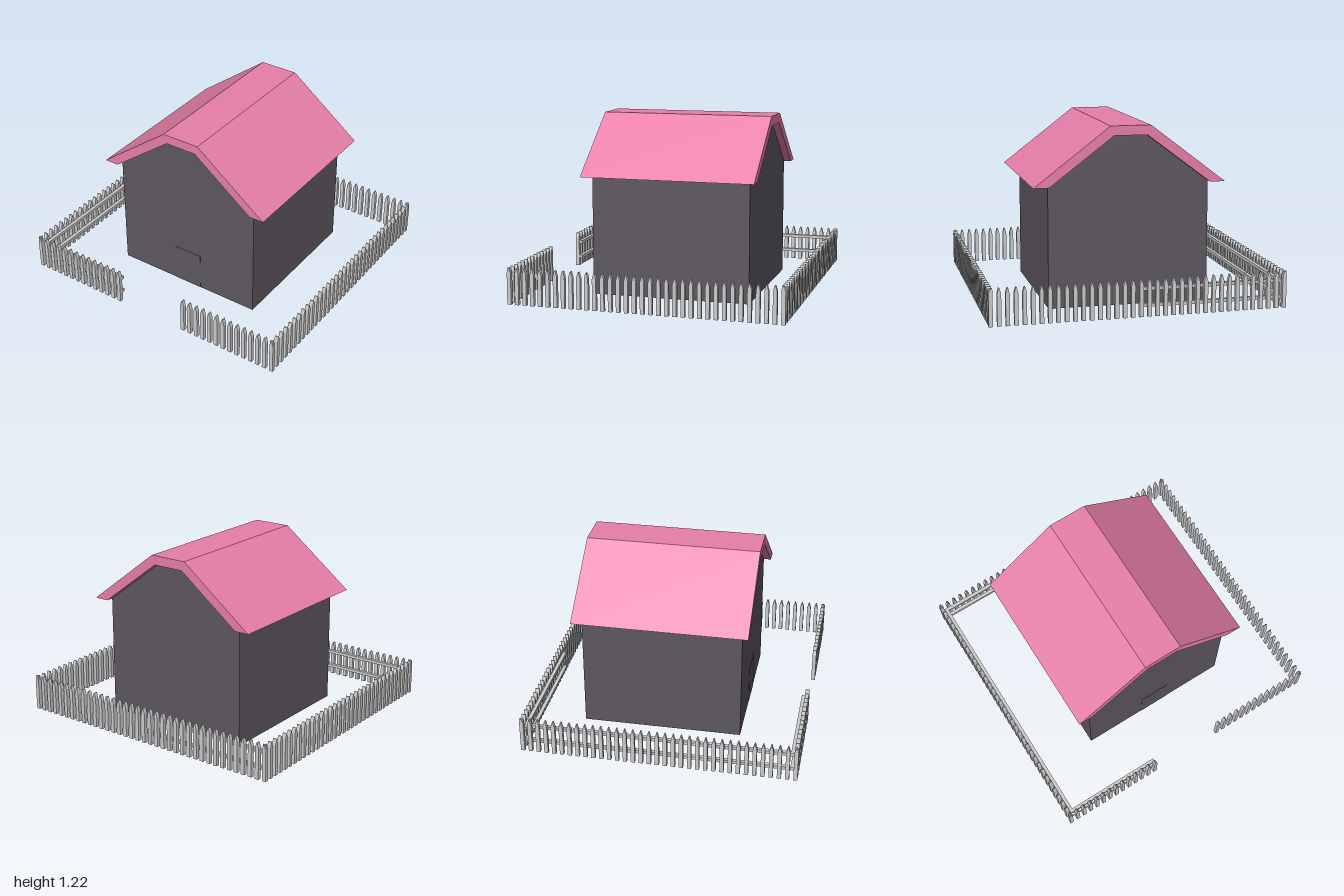
import * as THREE from 'three';
import { mergeGeometries } from 'three/addons/utils/BufferGeometryUtils.js';

const grey = new THREE.MeshStandardMaterial({ color: 0xcccccc, flatShading: true });
const wallMat = new THREE.MeshStandardMaterial({ color: 0x5e5861, flatShading: true });
const roofMat = new THREE.MeshStandardMaterial({ color: 0xe87fa8, flatShading: true });

// Extrude an outline of [x, y] points from z0 to z1
function prism(points, z0, z1) {
  const shape = new THREE.Shape(points.map(([x, y]) => new THREE.Vector2(x, y)));
  const geo = new THREE.ExtrudeGeometry(shape, { depth: z1 - z0, bevelEnabled: false });
  return geo.translate(0, 0, z0);
}

function box(x0, x1, y0, y1, z0, z1) {
  return new THREE.BoxGeometry(x1 - x0, y1 - y0, z1 - z0)
    .translate((x0 + x1) / 2, (y0 + y1) / 2, (z0 + z1) / 2);
}

export function createModel() {
  const model = new THREE.Group();
  const add = (name, geo, mat) => {
    const mesh = new THREE.Mesh(geo, mat);
    mesh.name = name;
    model.add(mesh);
  };

  // House body with a gable cut flat at the ridge
  add('walls', prism([[-0.55, 0], [0.55, 0], [0.55, 0.825], [0.113, 1.155],
    [-0.113, 1.155], [-0.55, 0.825]], -0.604, 0.497), wallMat);
  add('door', box(-0.11, 0.11, 0, 0.275, 0.49, 0.499), wallMat);

  // Roof shell: outer slope, flat ridge, then back along the underside
  add('roof', prism([[0.655, 0.825], [0.137, 1.22], [-0.137, 1.22], [-0.655, 0.825],
    [-0.55, 0.825], [-0.113, 1.155], [0.113, 1.155], [0.55, 0.825]], -0.655, 0.549), roofMat);

  // Picket fence
  const w = 0.0135, X = 0.9865, Z = 0.929, step = X / 18;
  const picket = prism([[-w, 0], [w, 0], [w, 0.212], [0.003, 0.25], [-0.003, 0.25], [-w, 0.212]], -w, w);
  const pickets = (name, count, place) => {
    const parts = [];
    for (let i = 0; i < count; i++) {
      const [x, z, turn] = place(i);
      parts.push(picket.clone().rotateY(turn).translate(x, 0, z));
    }
    add(name, mergeGeometries(parts), grey);
  };
  pickets('backPickets', 37, (i) => [-X + i * step, -Z, 0]);
  for (const [side, s] of [['left', 1], ['right', -1]]) {
    pickets(side + 'Pickets', 35, (i) => [s * X, -Z + (i * 2 * Z) / 34, Math.PI / 2]);
    pickets(side + 'FrontPickets', 14, (i) => [s * (X - i * step), Z, 0]);
  }

  // Two rails inside the fence, on its right half only
  const xIn = -X + w, zIn = Z - w, t = 0.025;
  for (const [name, y] of [['lower', 0.07], ['upper', 0.182]]) {
    const y0 = y - 0.011, y1 = y + 0.011;
    add(name + 'SideRail', box(xIn, xIn + t, y0, y1, -zIn, zIn), grey);
    add(name + 'BackRail', box(xIn + t, 0, y0, y1, -zIn, -zIn + t), grey);
    add(name + 'FrontRail', box(xIn + t, -0.263, y0, y1, zIn - t, zIn), grey);
  }
  return model;
}
